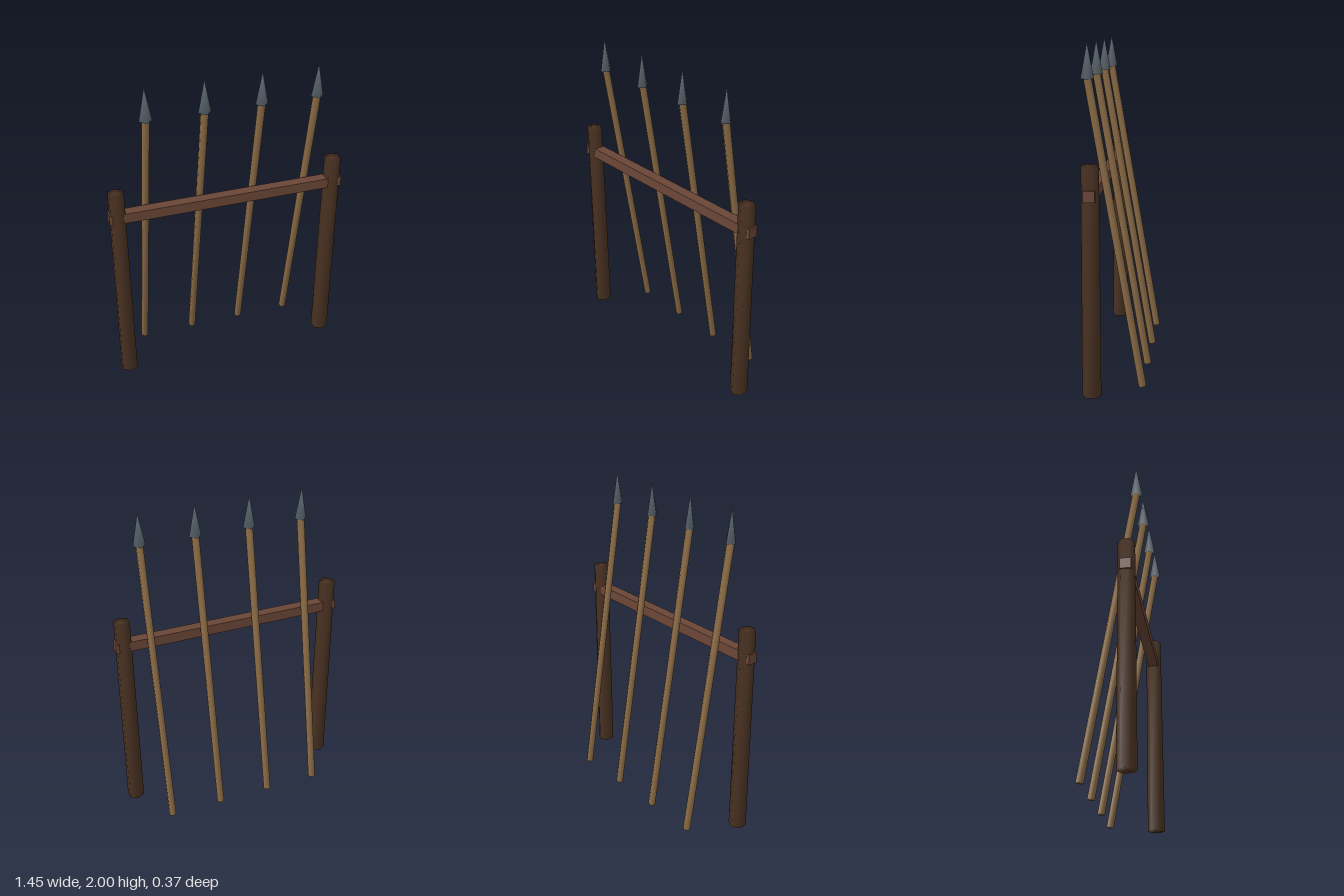
import * as THREE from 'three';
import { mergeVertices } from 'three/addons/utils/BufferGeometryUtils.js';

// weld all corners so the shading runs smoothly over sides and caps
function weld(geometry) {
  geometry.deleteAttribute('normal');
  geometry.deleteAttribute('uv');
  const welded = mergeVertices(geometry, 1e-4);
  welded.computeVertexNormals();
  return welded;
}

function material(name, color) {
  const m = new THREE.MeshStandardMaterial({ color });
  m.name = name;
  return m;
}

export function createModel() {
  const model = new THREE.Group();
  model.name = 'spearRack';
  const postWood = material('dark post wood', 0x4a3222);
  const beamWood = material('reddish beam wood', 0x6b4636);
  const shaftWood = material('light shaft wood', 0x8c6c46);
  const steel = material('grey steel', 0x566069);

  const add = (parent, name, geometry, mat, x, y, z) => {
    const mesh = new THREE.Mesh(geometry, mat);
    mesh.name = name;
    mesh.position.set(x, y, z);
    parent.add(mesh);
    return mesh;
  };

  // two tapered hexagonal posts joined by a crossbeam
  const rackZ = 0.113;
  const postGeometry = weld(new THREE.CylinderGeometry(0.05, 0.055, 1.34, 6));
  add(model, 'leftPost', postGeometry, postWood, 0.671, 0.68, rackZ);
  add(model, 'rightPost', postGeometry, postWood, -0.674, 0.68, rackZ);
  add(model, 'crossbeam', new THREE.BoxGeometry(1.452, 0.064, 0.064), beamWood, -0.001, 1.186, rackZ);

  // four spears leaning forward against the beam
  const foot = new THREE.Vector3(-0.021, 0.004, -0.309);
  const lean = foot.clone().negate().add(new THREE.Vector3(0, 1.81, 0));
  const shaftGeometry = weld(new THREE.CylinderGeometry(0.023, 0.023, lean.length(), 6));
  const headGeometry = weld(new THREE.ConeGeometry(0.038, 0.2, 4));
  const tilt = new THREE.Quaternion().setFromUnitVectors(
    new THREE.Vector3(0, 1, 0), lean.clone().normalize());
  for (let i = 0; i < 4; i++) {
    const spear = new THREE.Group();
    spear.name = `spear${i + 1}`;
    spear.position.set(-0.484 + i * 0.336, 0, 0.147);
    const mid = foot.clone().addScaledVector(lean, 0.5);
    add(spear, 'shaft', shaftGeometry, shaftWood, mid.x, mid.y, mid.z).quaternion.copy(tilt);
    add(spear, 'spearHead', headGeometry, steel, 0, 1.9, 0);
    model.add(spear);
  }
  return model;
}
